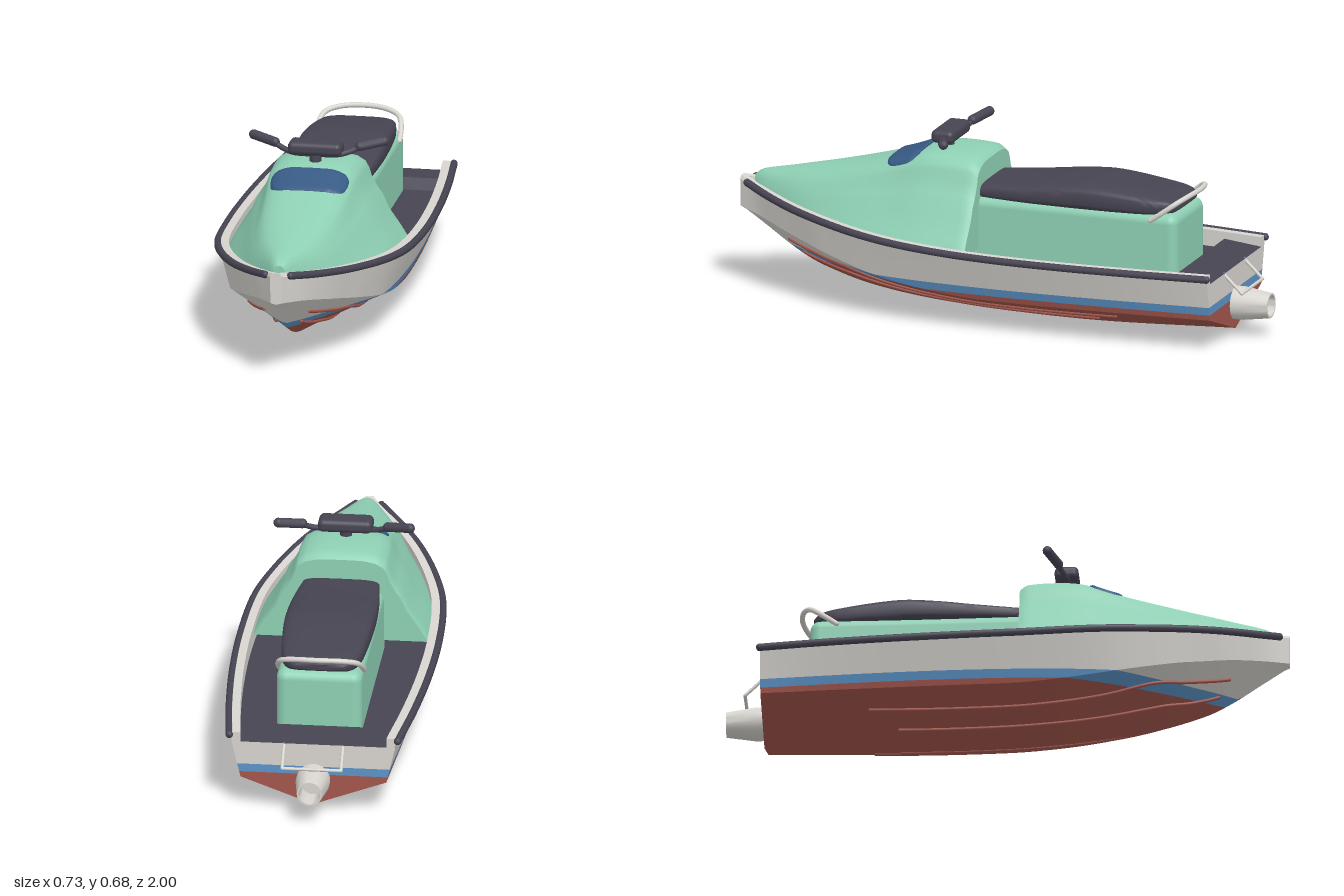
import * as THREE from 'three';
import { toCreasedNormals } from 'three/addons/utils/BufferGeometryUtils.js';
import { RoundedBoxGeometry } from 'three/addons/geometries/RoundedBoxGeometry.js';

const paint = (name, color, side = THREE.FrontSide) => Object.assign(new THREE.MeshStandardMaterial({ color, side }), { name });
const clamp = THREE.MathUtils.clamp, lerp = THREE.MathUtils.lerp;

// Smooth value table: cubic interpolation through [z, value] pairs
function table(p) {
  const slope = (i) => {
    const a = p[Math.max(i - 1, 0)], b = p[Math.min(i + 1, p.length - 1)];
    return (b[1] - a[1]) / (b[0] - a[0]);
  };
  return (z) => {
    z = clamp(z, p[0][0], p[p.length - 1][0]);
    let i = 0;
    while (i < p.length - 2 && z > p[i + 1][0]) i++;
    const h = p[i + 1][0] - p[i][0], t = (z - p[i][0]) / h, t2 = t * t, t3 = t2 * t;
    return (2 * t3 - 3 * t2 + 1) * p[i][1] + (t3 - 2 * t2 + t) * h * slope(i)
      + (3 * t2 - 2 * t3) * p[i + 1][1] + (t3 - t2) * h * slope(i + 1);
  };
}
const range = (a, b, n) => Array.from({ length: n + 1 }, (_, i) => a + (b - a) * i / n);

// Skin over rings (counter-clockwise seen from +z, rings ordered by rising z)
function loft(rings, { closed = true, caps = closed, crease = 0.6 } = {}) {
  const n = rings[0].length, pos = rings.flat(2), idx = [];
  for (let i = 0; i < rings.length - 1; i++) {
    for (let j = 0; j < (closed ? n : n - 1); j++) {
      const k = (j + 1) % n, a = i * n + j, b = i * n + k, c = b + n, d = a + n;
      idx.push(a, b, c, a, c, d);
    }
  }
  if (caps) {
    for (const [i, front] of [[0, false], [rings.length - 1, true]]) {
      const m = pos.length / 3;
      for (let c = 0; c < 3; c++) pos.push(rings[i].reduce((s, p) => s + p[c], 0) / n);
      for (let j = 0; j < n; j++) {
        const a = i * n + j, b = i * n + (j + 1) % n;
        idx.push(m, front ? a : b, front ? b : a);
      }
    }
  }
  const g = new THREE.BufferGeometry();
  g.setAttribute('position', new THREE.Float32BufferAttribute(pos, 3));
  g.setIndex(idx);
  return toCreasedNormals(g, crease);
}
const mirror = (rings) => rings.map((r) => r.map(([x, y, z]) => [-x, y, z]).reverse());
const flipX = (pts) => pts.map(([x, y, z]) => [-x, y, z]);
const path = (pts) => new THREE.CatmullRomCurve3(pts.map((p) => new THREE.Vector3(...p)));

// Hull lines
const keelY = table([[-0.865, 0.025], [-0.3, 0.002], [0.2, 0.015], [0.5, 0.05], [0.7, 0.107], [0.8, 0.158], [0.9, 0.225], [1, 0.292]]);
const chineX = table([[-0.865, 0.26], [-0.3, 0.288], [0.1, 0.29], [0.4, 0.275], [0.6, 0.226], [0.7, 0.184], [0.8, 0.138], [0.9, 0.079], [1, 0.02]]);
const chineY = table([[-0.865, 0.12], [0, 0.122], [0.2, 0.138], [0.4, 0.17], [0.6, 0.215], [0.8, 0.262], [0.9, 0.283], [1, 0.298]]);
const sheerX = table([[-0.865, 0.297], [-0.6, 0.325], [-0.3, 0.345], [0, 0.35], [0.3, 0.333], [0.5, 0.287], [0.7, 0.21], [0.85, 0.125], [0.95, 0.052], [1, 0.022]]);
const sheerY = table([[-0.865, 0.278], [0, 0.288], [0.4, 0.312], [0.7, 0.346], [0.9, 0.376], [1, 0.396]]);
const bottomY = (z, x) => lerp(keelY(z), chineY(z), x / chineX(z));

function hullPoint(z, y) {
  const k = keelY(z), c = chineY(z), s = sheerY(z);
  y = clamp(y, k, s);
  const x = y < c ? chineX(z) * (y - k) / (c - k) : lerp(chineX(z), sheerX(z), (y - c) / (s - c));
  return [x, y, z];
}
const hullBand = (z, lo, hi) => [lo, clamp(chineY(z), lo, hi), hi].map((y) => hullPoint(z, y));

// Cowl cross-sections
const cowlTop = table([[0.05, 0.572], [0.075, 0.59], [0.2, 0.597], [0.28, 0.588], [0.4, 0.548], [0.6, 0.5], [0.8, 0.46], [0.92, 0.436], [0.945, 0.42]]);
const cowlBase = table([[0.05, 0.31], [0.075, 0.315], [0.3, 0.3], [0.5, 0.253], [0.7, 0.175], [0.85, 0.092], [0.92, 0.05], [0.945, 0.03]]);
const rearProfile = [[0, 1], [0.14, 1], [0.27, 0.995], [0.4, 0.965], [0.49, 0.91], [0.525, 0.845], [0.557, 0.745], [0.63, 0.615], [0.685, 0.54], [0.755, 0.38], [0.89, 0.185], [1, 0]];
const noseProfile = [[0, 1], [0.15, 0.99], [0.3, 0.96], [0.45, 0.91], [0.57, 0.83], [0.66, 0.74], [0.74, 0.63], [0.8, 0.52], [0.86, 0.4], [0.91, 0.27], [0.96, 0.13], [1, 0]];
function cowlSection(z) {
  const t = THREE.MathUtils.smoothstep(z, 0.3, 0.85), base = sheerY(z) - 0.02;
  return rearProfile.map(([u, v], i) => [
    cowlBase(z) * lerp(u, noseProfile[i][0], t),
    lerp(base, cowlTop(z), lerp(v, noseProfile[i][1], t)), z]);
}
function cowlY(z, x) {
  const s = cowlSection(z);
  let i = 0;
  while (i < s.length - 2 && Math.abs(x) > s[i + 1][0]) i++;
  return lerp(s[i][1], s[i + 1][1], (Math.abs(x) - s[i][0]) / (s[i + 1][0] - s[i][0]));
}
// Rounded-square point on a unit outline
const squircle = (a, e) => [Math.sign(Math.cos(a)) * Math.abs(Math.cos(a)) ** e, Math.sign(Math.sin(a)) * Math.abs(Math.sin(a)) ** e];

export function createModel() {
  const model = new THREE.Group();
  model.name = 'watercraft';
  const green = paint('sea green', 0x8ed0b4), dark = paint('charcoal', 0x474452);
  const grey = paint('light grey', 0xd8d5d0, THREE.DoubleSide), glass = paint('window blue', 0x375a84, THREE.DoubleSide);
  const red = paint('hull red', 0xa4574c), blue = paint('stripe blue', 0x5c94c9);
  const add = (name, geo, mat) => {
    const m = new THREE.Mesh(geo, mat);
    m.name = name;
    model.add(m);
    return m;
  };
  const tube = (name, pts, r, mat, n = 40) => {
    add(name, new THREE.TubeGeometry(path(pts), n, r, 10), mat);
    for (const p of [pts[0], pts[pts.length - 1]]) add(name + 'End', new THREE.SphereGeometry(r, 10, 8), mat).position.set(...p);
  };

  // Hull in colour bands, with stern and bow faces
  const zs = range(-0.865, 1, 90);
  const bands = [['hullBottom', 0, 0.14, red], ['hullStripe', 0.14, 0.17, blue], ['hullSide', 0.17, 0.255, grey], ['hullTopside', 0.255, 0.5, grey]];
  for (const [name, lo, hi, mat] of bands) {
    const rings = zs.map((z) => hullBand(z, lo, hi));
    for (const r of [rings, mirror(rings)]) add(name, loft(r, { closed: false, crease: 0.6 }), mat);
    const bow = name === 'hullTopside';
    const half = bow ? rings[rings.length - 1] : rings[0];
    const outline = [...half, ...flipX(half).reverse()].map((p) => new THREE.Vector2(bow ? p[0] : -p[0], p[1]));
    const end = add(name + (bow ? 'Bow' : 'Transom'), new THREE.ShapeGeometry(new THREE.Shape(outline)), mat);
    end.position.z = bow ? 1 : -0.865;
    if (!bow) end.rotation.y = Math.PI;
  }

  // Gunwales and rubber rails
  const gunwale = zs.map((z) => {
    const x = sheerX(z), y = sheerY(z), inner = Math.max(0, x - 0.037);
    return [[inner, y - 0.07, z], [Math.max(0.002, x - 0.025), y - 0.07, z], [x, y, z], [Math.max(0.001, x - 0.008), y + 0.012, z], [inner, y + 0.012, z]];
  });
  const rail = range(-0.865, 0.965, 24).map((z) => [sheerX(z) + 0.003, sheerY(z) + 0.003, z]);
  for (const r of [gunwale, mirror(gunwale)]) add('gunwale', loft(r), grey);
  for (const r of [rail, flipX(rail)]) tube('rubRail', r, 0.0135, dark, 90);

  // Footwell floor, ramping up to the stern deck
  const floorY = (z) => (z < -0.7 ? lerp(0.255, 0.266, (z + 0.865) / 0.145) : 0.232);
  const floor = [...range(-0.865, -0.72, 4), ...range(-0.68, 0.4, 24)].map((z) => {
    const x = sheerX(z) - 0.034;
    return [[x, floorY(z), z], [-x, floorY(z), z]];
  });
  add('footwellFloor', loft(floor, { closed: false, crease: 0.3 }), dark);

  // Cowl and its window
  const cowlZ = [0.05, 0.055, 0.062, ...range(0.075, 0.92, 44), 0.932, 0.94, 0.945];
  add('cowl', loft(cowlZ.map((z) => {
    const s = cowlSection(z);
    return [...s.slice(1).reverse(), ...flipX(s)];
  }), { crease: 0.8 }), green);
  const steps = 48;
  const pane = [[0, 0.008], [0.35, 0.008], [0.7, 0.008], [0.93, 0.008], [1, 0.004], [1.01, -0.006]].map(([r, lift]) =>
    Array.from({ length: steps }, (_, j) => {
      const [u, v] = squircle(j / steps * Math.PI * 2, 0.42);
      const z = 0.355 + 0.064 * r * v, x = r * u * (0.138 - 0.008 * v - 0.01 * v * v);
      return [x, cowlY(z, x) + lift, z];
    }));
  add('window', loft(pane, { caps: false, crease: 0.8 }), glass);

  // Seat pedestal and cushion
  add('seatPedestal', new RoundedBoxGeometry(0.305, 0.27, 0.8, 5, 0.035), green).position.set(0, 0.322, -0.295);
  const seatW = table([[-0.685, 0.09], [-0.67, 0.115], [-0.62, 0.137], [-0.5, 0.152], [-0.3, 0.16], [-0.1, 0.153], [0.07, 0.135]]);
  const seatTop = table([[-0.685, 0.485], [-0.67, 0.498], [-0.6, 0.513], [-0.38, 0.538], [-0.25, 0.53], [-0.1, 0.512], [0.07, 0.498]]);
  const seatLow = table([[-0.685, 0.465], [-0.66, 0.45], [-0.55, 0.437], [0.07, 0.443]]);
  add('seatCushion', loft(range(-0.685, 0.07, 40).map((z) => Array.from({ length: 40 }, (_, j) => {
    const [u, v] = squircle(j / 40 * Math.PI * 2, 0.5);
    return [u * seatW(z), lerp(seatLow(z), seatTop(z), 0.5 + v / 2), z];
  })), { crease: 0.9 }), dark);

  // Grab handle behind the seat
  const grab = [[0.152, 0.435, -0.6], [0.15, 0.467, -0.645], [0.134, 0.5, -0.69], [0.085, 0.516, -0.717]];
  tube('grabHandle', [...grab, [0, 0.521, -0.73], ...flipX(grab).reverse()], 0.0095, grey, 60);

  // Handlebar
  add('steeringColumn', new THREE.CylinderGeometry(0.02, 0.022, 0.06, 20), dark).position.set(0, 0.608, 0.22);
  add('handlebarPad', new RoundedBoxGeometry(0.194, 0.048, 0.085, 5, 0.019), dark).position.set(0, 0.644, 0.212);
  const bar = [[0.16, 0.648, 0.183], [0.12, 0.63, 0.2], [0.08, 0.621, 0.215]];
  tube('handlebar', [...bar, [0, 0.62, 0.218], ...flipX(bar).reverse()], 0.01, dark);
  const grip = [[0.152, 0.647, 0.187], [0.235, 0.661, 0.153]];
  for (const g of [grip, flipX(grip)]) tube('grip', g, 0.0175, dark, 4);

  // Strakes under the hull
  const strakes = [
    [table([[-0.48, 0.185], [0.35, 0.187], [0.52, 0.184], [0.65, 0.138], [0.79, 0.082]]), -0.48, 0.79],
    [table([[-0.38, 0.094], [0.42, 0.095], [0.56, 0.086], [0.65, 0.064], [0.75, 0.044]]), -0.38, 0.75]];
  for (const [x, back, front] of strakes) {
    const line = range(back, front, 30).map((z) => [x(z), bottomY(z, x(z)) - 0.002, z]);
    for (const l of [line, flipX(line)]) tube('strake', l, 0.0065, red, 70);
  }

  // Jet nozzle and stern bracket
  const nozzleProfile = [[0.06, 0], [0.06, 0.035], [0.045, 0.138], [0.038, 0.138], [0.036, 0.05], [0, 0.05]];
  const nozzle = add('jetNozzle', toCreasedNormals(new THREE.LatheGeometry(nozzleProfile.map((p) => new THREE.Vector2(...p)), 32), 0.6), grey);
  nozzle.rotation.x = -Math.PI / 2;
  nozzle.position.set(0, 0.12, -0.862);
  const leg = [[0.105, 0.25, -0.86], [0.105, 0.185, -0.928]];
  for (const l of [leg, flipX(leg)]) tube('bracketLeg', l, 0.006, grey, 4);
  tube('bracketBar', [leg[1], flipX(leg)[1]], 0.006, grey, 4);
  return model;
}
